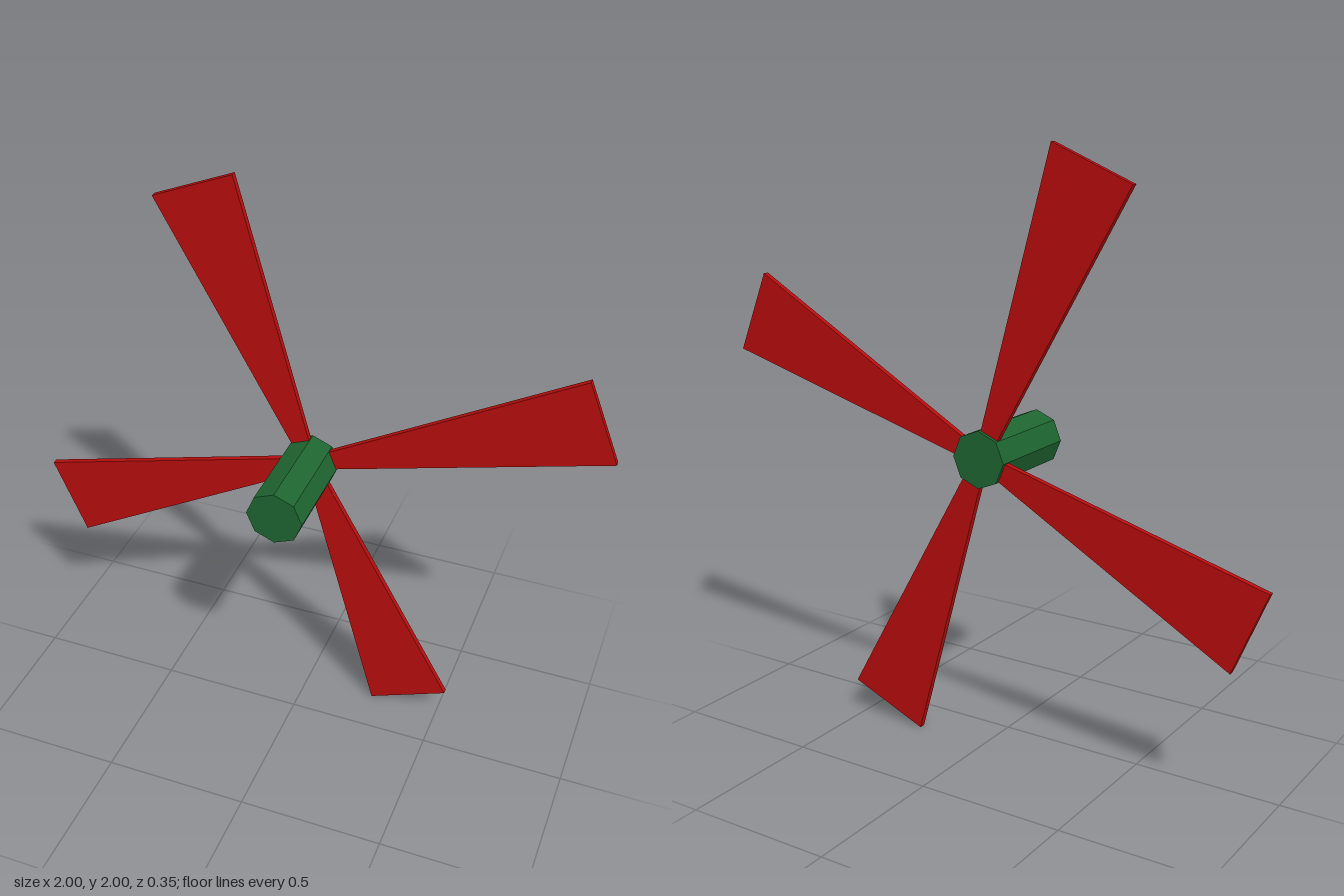
import * as THREE from 'three';

export function createModel() {
  const group = new THREE.Group();
  const red = new THREE.MeshStandardMaterial({ color: 0xb80d0d, flatShading: true });
  const green = new THREE.MeshStandardMaterial({ color: 0x1e6530, flatShading: true });

  // Octagonal hub lying along z
  const hub = new THREE.Mesh(new THREE.CylinderGeometry(0.096, 0.096, 0.354, 8).rotateX(Math.PI / 2), green);
  hub.name = 'hub';
  hub.position.y = 1;
  group.add(hub);

  // Thin tapered blade, narrow end buried in the hub
  const outline = new THREE.Shape([
    new THREE.Vector2(0.05, -0.029),
    new THREE.Vector2(1.022, -0.148),
    new THREE.Vector2(1.022, 0.148),
    new THREE.Vector2(0.05, 0.029),
  ]);
  const thickness = 0.02;
  const bladeGeometry = new THREE.ExtrudeGeometry(outline, { depth: thickness, bevelEnabled: false });
  bladeGeometry.translate(0, 0, -thickness / 2);

  // Four blades near the back end of the hub
  for (let i = 0; i < 4; i++) {
    const blade = new THREE.Mesh(bladeGeometry, red);
    blade.name = `blade${i + 1}`;
    blade.position.set(0, 1, -0.155);
    blade.rotation.z = Math.PI / 8 + (i * Math.PI) / 2;
    group.add(blade);
  }
  return group;
}
